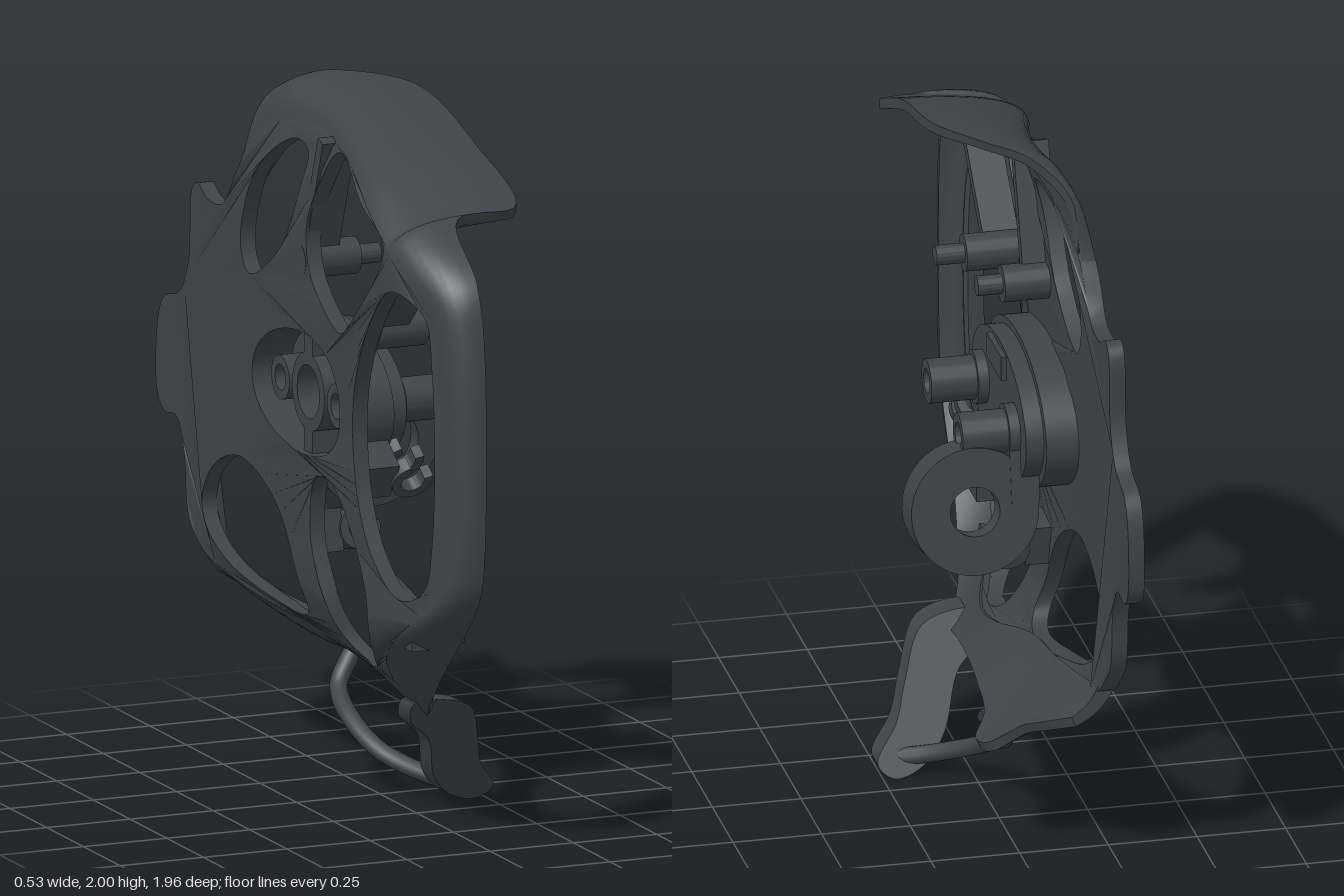
import * as THREE from 'three';
import { toCreasedNormals } from 'three/addons/utils/BufferGeometryUtils.js';

const material = new THREE.MeshStandardMaterial({ color: 0x3f4248, side: THREE.DoubleSide });
const T = 0.045;

// outer face of the plate: dished at the hub, bulging near the front, curling in at front, top and bottom
function plateX(z, y) {
  const front = Math.max(0, z - 0.65), top = Math.max(0, y - 1.65), low = Math.max(0, 0.66 - y);
  return -0.24 + 0.022 * Math.exp(-((z / 0.25) ** 2)) - 0.025 * THREE.MathUtils.smoothstep(z, 0.15, 0.55)
    + 1.15 * front * front + top * top + 2.1 * low * low;
}

function mesh(name, geometry, crease = 0.6) {
  const m = new THREE.Mesh(toCreasedNormals(geometry, crease), material);
  m.name = name;
  return m;
}

// smooth curve through 2D points; on the plate u = -z and v = y
function smooth(pts, closed, n = 60) {
  const c = new THREE.CatmullRomCurve3(pts.map(([u, v]) => new THREE.Vector3(u, v, 0)), closed);
  const out = c.getPoints(n).map((p) => new THREE.Vector2(p.x, p.y));
  if (closed) out.pop();
  return out;
}

function ellipse(u, v, a, b) {
  return new THREE.Path().absellipse(u, v, a, b, 0, Math.PI * 2);
}

// extrude a side-on shape from x0 to x1
function slab(shape, x0, x1) {
  return new THREE.ExtrudeGeometry(shape, { depth: x1 - x0, bevelEnabled: false, curveSegments: 32 })
    .rotateY(Math.PI / 2).translate(x0, 0, 0);
}

function tubeX(name, r, bore, x0, x1, y, z) {
  const s = new THREE.Shape(ellipse(-z, y, r, r).getPoints(24));
  if (bore) s.holes.push(ellipse(-z, y, bore, bore));
  return mesh(name, slab(s, x0, x1));
}

// rectangular bar between two [z, y] points
function bar(name, [z0, y0], [z1, y1], width, x0, x1) {
  const m = mesh(name, new THREE.BoxGeometry(x1 - x0, width, Math.hypot(z1 - z0, y1 - y0)));
  m.position.set((x0 + x1) / 2, (y0 + y1) / 2, (z0 + z1) / 2);
  m.rotation.x = Math.atan2(y0 - y1, z1 - z0);
  return m;
}

// rim stations: plate z, y, then free edge z, y, x
const stations = [
  [-0.42, 1.72, -0.41, 1.75, -0.19], [-0.37, 1.81, -0.385, 1.9, -0.17], [-0.25, 1.87, -0.29, 1.985, -0.08],
  [-0.14, 1.89, -0.19, 2, 0.02], [0, 1.89, -0.02, 1.99, 0.12], [0.35, 1.82, 0.38, 1.9, 0.125],
  [0.63, 1.71, 0.65, 1.79, 0.12], [0.66, 1.69, 0.69, 1.78, -0.07], [0.82, 1.57, 0.91, 1.65, -0.11],
  [0.865, 1.45, 0.96, 1.5, -0.11], [0.865, 0.85, 0.96, 0.85, -0.11], [0.83, 0.73, 0.92, 0.74, -0.11],
  [0.55, 0.52, 0.66, 0.49, -0.1], [0.45, 0.44, 0.5, 0.37, -0.07], [0.28, 0.41, 0.38, 0.31, -0.03],
  [0.12, 0.42, 0.18, 0.34, 0], [-0.15, 0.47, -0.15, 0.355, 0.03], [-0.32, 0.48, -0.34, 0.335, 0.05],
  [-0.42, 0.49, -0.45, 0.31, 0.1], [-0.52, 0.505, -0.53, 0.33, 0.08], [-0.59, 0.52, -0.57, 0.39, 0],
  [-0.65, 0.535, -0.64, 0.425, -0.04], [-0.7, 0.555, -0.71, 0.46, -0.11],
];
const N = 160;
const along = (f) => new THREE.CatmullRomCurve3(stations.map(f)).getPoints(N);
const inner = along(([z, y]) => new THREE.Vector3(0, y, z));
for (const p of inner) p.x = plateX(p.z, p.y);
const edge = along(([, , z, y, x]) => new THREE.Vector3(x, y, z));

// curved shell that sweeps from the plate to the free edge of the hood, rim and skirt
function rimGeometry() {
  const S = 8, M = 2 * (S + 1), pos = [], idx = [];
  for (let i = 0; i <= N; i++) {
    const A = inner[i], E = edge[i];
    const k = THREE.MathUtils.clamp(0.6 + (A.y - 0.5) * 1.5, 0.6, 0.92); // skirt is flatter than the hood
    const L = Math.hypot(E.z - A.z, E.y - A.y) || 1e-4;
    const dz = (E.z - A.z) / L, dy = (E.y - A.y) / L;
    const H = E.x - A.x, cr = L * k, cx = H * (1 - k);
    for (let n = 0; n < M; n++) {
      const inside = n > S, t = (inside ? M - 1 - n : n) / S;
      const tr = (1 - t) * cr + t * (L - cr), tx = (1 - t) * cx + t * (H - cx);
      const w = inside ? (T - 0.015 * t) / (Math.hypot(tr, tx) || 1) : 0;
      const r = 2 * t * (1 - t) * cr + t * t * L - tx * w;
      const x = 2 * t * (1 - t) * cx + t * t * H + tr * w;
      pos.push(A.x + x, A.y + dy * r, A.z + dz * r);
    }
  }
  for (let i = 0; i < N; i++) {
    for (let j = 0; j < M; j++) {
      const a = i * M + j, c = i * M + (j + 1) % M;
      idx.push(a, a + M, c, c, a + M, c + M);
    }
  }
  for (let j = 0; j < S; j++) { // end caps
    const a = j, b = j + 1, c = M - 2 - j, d = M - 1 - j, o = N * M;
    idx.push(a, b, c, a, c, d, o + a, o + c, o + b, o + a, o + d, o + c);
  }
  const g = new THREE.BufferGeometry();
  g.setAttribute('position', new THREE.Float32BufferAttribute(pos, 3));
  g.setIndex(idx);
  return g;
}

// windows between the spokes
const windows = [
  [[-0.85, 1.4], [-0.82, 1.55], [-0.67, 1.59], [-0.5, 1.43], [-0.395, 1.21], [-0.42, 0.99], [-0.54, 0.82],
    [-0.72, 0.73], [-0.82, 0.77], [-0.85, 0.9]],
  [[-0.62, 1.695], [-0.4, 1.785], [-0.12, 1.855], [-0.06, 1.76], [0.01, 1.6], [-0.03, 1.48], [-0.24, 1.38], [-0.36, 1.43]],
  [[0.05, 1.81], [0.15, 1.84], [0.31, 1.73], [0.41, 1.5], [0.36, 1.42], [0.15, 1.55]],
  [[0.06, 0.55], [0.15, 0.76], [0.26, 0.85], [0.42, 0.89], [0.6, 0.82], [0.67, 0.7], [0.55, 0.575], [0.3, 0.51], [0.12, 0.5]],
  [[-0.51, 0.65], [-0.43, 0.8], [-0.19, 0.94], [-0.05, 0.92], [-0.02, 0.76], [-0.1, 0.6], [-0.14, 0.47], [-0.27, 0.435], [-0.46, 0.53]],
];
// scalloped rear edge
const scallops = [[0.71, 0.56], [0.77, 0.67], [0.79, 0.82], [0.84, 0.91], [0.93, 0.91], [0.976, 0.96], [0.97, 1.16],
  [0.93, 1.23], [0.82, 1.27], [0.76, 1.37], [0.74, 1.57], [0.7, 1.6], [0.63, 1.57], [0.525, 1.58], [0.425, 1.71]];

// open C-shaped clip on a block
function clip(name, y, z, turn) {
  const g = new THREE.Group();
  g.name = name;
  const c = new THREE.Shape();
  c.absarc(0, 0, 0.06, 1.9, 6.6, false);
  c.absarc(0, 0, 0.034, 6.6, 1.9, true);
  const base = mesh('clipBase', new THREE.BoxGeometry(0.1, 0.12, 0.1));
  base.position.x = -0.1;
  g.add(base);
  for (const z0 of [-0.06, 0.015]) {
    g.add(mesh('clipJaw', new THREE.ExtrudeGeometry(c, { depth: 0.045, bevelEnabled: false }).translate(0, 0, z0)));
  }
  g.position.set(-0.06, y, z);
  g.rotation.x = turn;
  return g;
}

export function createModel() {
  const model = new THREE.Group();
  model.name = 'sideCover';

  // curved plate with windows
  const outline = inner.map((p) => new THREE.Vector2(-p.z, p.y)).concat(smooth(scallops, false, 90));
  const shape = new THREE.Shape(outline);
  for (const w of windows) shape.holes.push(new THREE.Path(smooth(w, true)));
  shape.holes.push(ellipse(0.035, 1.15, 0.3, 0.17));
  const plate = slab(shape, 0, T), p = plate.attributes.position;
  for (let i = 0; i < p.count; i++) p.setX(i, p.getX(i) + plateX(p.getZ(i), p.getY(i)));
  model.add(mesh('plate', plate), mesh('rim', rimGeometry(), 0.7));

  // oval hub, recessed from outside, with two bored bosses and inner ribs
  const wall = new THREE.Shape(ellipse(0.035, 1.15, 0.36, 0.21).getPoints(48));
  wall.holes.push(ellipse(0.035, 1.15, 0.3, 0.17));
  model.add(mesh('hubWall', slab(wall, -0.215, -0.1)));
  const cap = new THREE.Shape(ellipse(0.035, 1.15, 0.33, 0.19).getPoints(48));
  for (const z of [0.155, -0.225]) {
    cap.holes.push(ellipse(-z, 1.15, 0.036, 0.036));
    model.add(tubeX('boss', 0.062, 0.036, -0.2, 0.11, 1.15, z), tubeX('bossFoot', 0.075, 0.036, -0.06, -0.02, 1.15, z));
  }
  model.add(mesh('hubCap', slab(cap, -0.12, -0.05)), tubeX('hubSocket', 0.11, 0.075, -0.2, -0.11, 1.15, -0.035));
  for (const y of [1.02, 1.29]) {
    model.add(bar('hubTab', [-0.125, y], [0.055, y], 0.07, -0.1, -0.035), bar('hubRib', [-0.065, y], [-0.005, y], 0.09, -0.2, -0.1));
  }

  // guide ring with counterbore and its bracket
  const profile = [[0.07, -0.06], [0.18, -0.06], [0.18, 0.06], [0.12, 0.06], [0.12, 0.01], [0.07, 0.01], [0.07, -0.06]];
  const ring = mesh('guideRing', new THREE.LatheGeometry(profile.map(([r, h]) => new THREE.Vector2(r, h)), 40).rotateX(Math.PI / 2));
  ring.position.set(0.083, 0.945, -0.26);
  ring.rotation.x = 0.18;
  model.add(ring, bar('ringBracket', [-0.235, 1.12], [-0.265, 0.96], 0.11, -0.1, -0.02));

  // pegs and ribs on the upper spokes
  for (const [z, y, x, z1, y1] of [[0.4, 1.415, 0.03, 0.72, 1.71], [-0.06, 1.517, 0.02, 0.07, 1.88]]) {
    model.add(tubeX('pegBase', 0.052, 0, -0.22, -0.05, y, z), tubeX('peg', 0.028, 0, -0.06, x, y, z),
      bar('spokeRib', [z, y], [z1, y1], 0.035, -0.21, -0.11));
  }

  // cable clips and small stop on the lower edge
  model.add(clip('upperClip', 1.0, 0.31, 0.6), clip('lowerClip', 0.75, -0.055, -0.2));
  model.add(bar('stop', [0.58, 0.61], [0.74, 0.61], 0.05, -0.23, -0.13), tubeX('stopPin', 0.018, 0, -0.2, -0.07, 0.61, 0.72));

  // hanging loop: leaning leg and curved rod
  const leg = new THREE.Shape(smooth([[-0.09, 0.36], [-0.08, 0.3], [0, 0.23], [0.06, 0.1], [0.13, 0.03], [0.22, 0.005],
    [0.26, 0.04], [0.19, 0.13], [0.15, 0.22], [0.08, 0.34]], true));
  const legGeo = new THREE.ExtrudeGeometry(leg, { depth: 0.08, bevelEnabled: false });
  const lp = legGeo.attributes.position;
  for (let i = 0; i < lp.count; i++) lp.setZ(i, lp.getZ(i) + 0.085 + 0.8 * (lp.getY(i) - 0.02));
  model.add(mesh('loopLeg', legGeo));
  const rod = [[0.22, 0.035, 0.15], [0.1, 0.07, 0.08], [0.01, 0.12, -0.01], [-0.025, 0.19, -0.14], [-0.005, 0.255, -0.27], [0.05, 0.34, -0.3]];
  model.add(mesh('loopRod', new THREE.TubeGeometry(
    new THREE.CatmullRomCurve3(rod.map((q) => new THREE.Vector3(...q))), 40, 0.026, 10), 1));
  return model;
}
